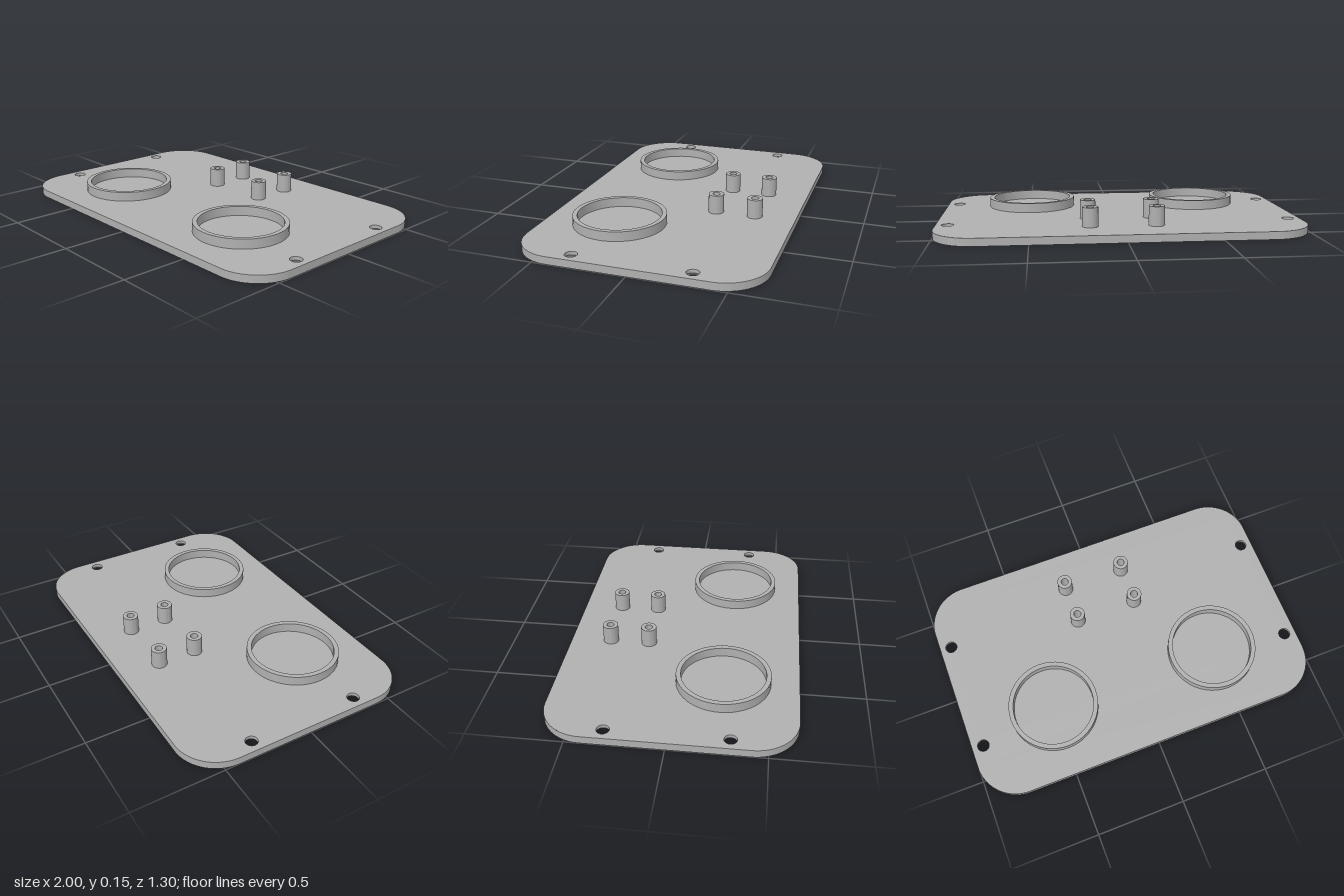
import * as THREE from 'three';
import { toCreasedNormals } from 'three/addons/utils/BufferGeometryUtils.js';

const W = 1, D = 0.65, R = 0.23, T = 0.042; // plate half width, half depth, corner radius, thickness
const SCREW = [0.935, 0.314], FOOT = [0.7, 0.52];
const SCREW_R = 0.033, SINK_R = 0.056, FOOT_R = 0.09, FOOT_DEPTH = 0.016;

const mirrored = ([x, z]) => [[x, z], [-x, z], [-x, -z], [x, -z]];

// Rounded rectangle with round holes given as [x, z, radius]
function outline(holes) {
  const s = new THREE.Shape();
  s.absarc(W - R, D - R, R, 0, Math.PI / 2);
  s.absarc(-W + R, D - R, R, Math.PI / 2, Math.PI);
  s.absarc(-W + R, -D + R, R, Math.PI, Math.PI * 1.5);
  s.absarc(W - R, -D + R, R, Math.PI * 1.5, Math.PI * 2);
  s.closePath();
  for (const [x, z, r] of holes) {
    s.holes.push(new THREE.Path().absarc(x, -z, r, 0, Math.PI * 2, true));
  }
  return s;
}

// Upright strip around the plate edge
function edgeGeometry() {
  const pts = outline([]).getPoints(16);
  const pos = [];
  pts.forEach((a, i) => {
    const b = pts[(i + 1) % pts.length];
    if (a.distanceTo(b) < 1e-6) return;
    pos.push(a.x, 0, -a.y, b.x, 0, -b.y, b.x, T, -b.y);
    pos.push(a.x, 0, -a.y, b.x, T, -b.y, a.x, T, -a.y);
  });
  const g = new THREE.BufferGeometry();
  g.setAttribute('position', new THREE.Float32BufferAttribute(pos, 3));
  return toCreasedNormals(g, 0.6);
}

export function createModel() {
  const model = new THREE.Group();
  model.name = 'mountingPlate';
  const grey = new THREE.MeshStandardMaterial({ color: 0xb0b0b0 });
  grey.name = 'plainGrey';

  const add = (name, geometry, x = 0, z = 0, parent = model) => {
    const mesh = new THREE.Mesh(geometry, grey);
    mesh.name = name;
    mesh.position.set(x, 0, z);
    parent.add(mesh);
  };
  const turned = (profile) => toCreasedNormals(
    new THREE.LatheGeometry(profile.map(([r, y]) => new THREE.Vector2(r, y)), 48), 0.5);
  // Tube standing on the plate, open at the top
  const collar = (outer, inner, top) => turned([[outer, T], [outer, top], [inner, top], [inner, T]]);

  // Plate: top face, underside and edge
  const plate = new THREE.Group();
  plate.name = 'plate';
  model.add(plate);
  const screws = mirrored(SCREW), feet = mirrored(FOOT);
  const topHoles = screws.map(([x, z]) => [x, z, SCREW_R]);
  const bottomHoles = [
    ...screws.map(([x, z]) => [x, z, SINK_R]),
    ...feet.map(([x, z]) => [x, z, FOOT_R]),
  ];
  add('plateTop', new THREE.ShapeGeometry(outline(topHoles), 24)
    .rotateX(-Math.PI / 2).translate(0, T, 0), 0, 0, plate);
  add('plateUnderside', new THREE.ShapeGeometry(outline(bottomHoles), 24)
    .rotateX(Math.PI / 2), 0, 0, plate);
  add('plateEdge', edgeGeometry(), 0, 0, plate);

  // Countersunk screw holes and shallow foot recesses
  const sink = turned([[SCREW_R, T], [SCREW_R, 0.023], [SINK_R, 0]]);
  const recess = turned([[0, FOOT_DEPTH], [FOOT_R, FOOT_DEPTH], [FOOT_R, 0]]);
  for (const [x, z] of screws) add('screwHole', sink, x, z, plate);
  for (const [x, z] of feet) add('footRecess', recess, x, z, plate);

  // Two large rings at the front, four hollow posts at the back
  const ring = collar(0.254, 0.228, 0.095);
  const post = collar(0.043, 0.021, 0.148);
  for (const side of [-1, 1]) {
    add(side > 0 ? 'leftRing' : 'rightRing', ring, side * 0.489, 0.245);
    for (const z of [-0.204, -0.424]) add('post', post, side * 0.178, z);
  }
  return model;
}
